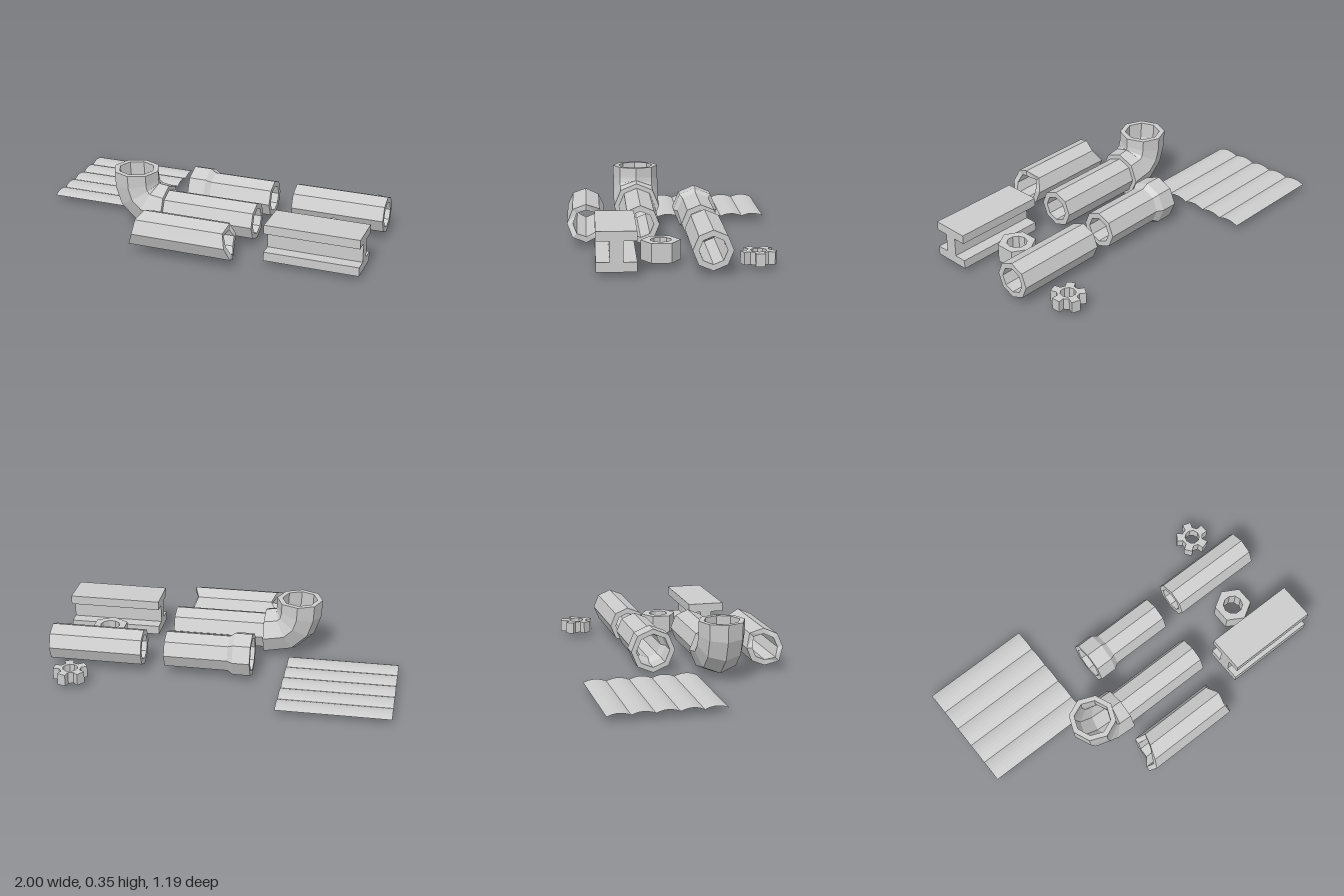
import * as THREE from 'three';

const grey = new THREE.MeshStandardMaterial({ color: 0xcccccc, flatShading: true });
const SIDES = 8;
const AXIS_Y = 0.138; // height of the pipe axes
const BASE_Y = 0.031; // underside of the loose parts
const R = 0.107, BORE = 0.074;

const polar = (r, a) => new THREE.Vector2(r * Math.cos(a), r * Math.sin(a));
const polygon = (r, n, start = 0) =>
  Array.from({ length: n }, (_, i) => polar(r, start + (i * 2 * Math.PI) / n));

// Octagonal hollow solid along y: outer wall up, inner wall back down
function hollow(outer, inner) {
  const profile = [...outer, ...[...inner].reverse(), outer[0]];
  return new THREE.LatheGeometry(profile.map(([r, y]) => new THREE.Vector2(r, y)), SIDES);
}

const pipeAlongX = (outer, inner) => hollow(outer, inner).rotateZ(-Math.PI / 2);

const straightPipe = (x0, x1) =>
  pipeAlongX([[R, x0], [R, x1]], [[BORE, x0], [BORE, x1]]);

// Flat plate with a hole, lying down with its underside on y = 0
function plate(outline, hole, height) {
  const shape = new THREE.Shape(outline);
  shape.holes.push(new THREE.Path(hole));
  return new THREE.ExtrudeGeometry(shape, { depth: height, bevelEnabled: false }).rotateX(-Math.PI / 2);
}

// Elbow: a hollow lathe whose rings are carried along a bent centre line
function elbowGeometry() {
  const path = [[-0.4, 0.353], [-0.396, 0.275], [-0.375, 0.21], [-0.322, 0.16], [-0.2, AXIS_Y]]
    .map(([x, y]) => new THREE.Vector2(x, y));
  const last = path.length - 1;
  const geometry = hollow(path.map((_, i) => [0.134, i]), path.map((_, i) => [0.103, i]));
  const pos = geometry.attributes.position;
  for (let k = 0; k < pos.count; k++) {
    const i = Math.round(pos.getY(k));
    const t = new THREE.Vector2(0, -1);
    if (i === last) t.set(1, 0);
    else if (i > 0) {
      const before = path[i].clone().sub(path[i - 1]).normalize();
      const after = path[i + 1].clone().sub(path[i]).normalize();
      t.addVectors(before, after).normalize();
    }
    const out = pos.getX(k);
    pos.setXYZ(k, path[i].x + t.y * out, path[i].y - t.x * out, pos.getZ(k));
  }
  return geometry;
}

// Broken pipe: each corner of the octagon ends at its own length
function brokenGeometry() {
  // from the front corner, going over the top to the back and underneath
  const leftEnds = [-0.26, -0.25, -0.225, -0.2, -0.25, -0.25, -0.25, -0.29];
  const rightEnds = [0.285, 0.265, 0.28, 0.25, 0.28, 0.28, 0.3, 0.31];
  const geometry = straightPipe(-1, 1);
  const pos = geometry.attributes.position;
  for (let k = 0; k < pos.count; k++) {
    const turn = Math.atan2(pos.getY(k), pos.getZ(k)) / (Math.PI / 4);
    const corner = (Math.round(turn) + SIDES) % SIDES;
    pos.setX(k, (pos.getX(k) < 0 ? leftEnds : rightEnds)[corner]);
  }
  return geometry;
}

// Corrugated sheet: five shallow arches side by side
function sheetGeometry() {
  const arches = 5, steps = 6, depth = 0.647;
  const geometry = new THREE.PlaneGeometry(0.64, depth, 1, arches * steps).rotateX(-Math.PI / 2);
  const pos = geometry.attributes.position;
  for (let k = 0; k < pos.count; k++) {
    const row = Math.round((pos.getZ(k) / depth + 0.5) * arches * steps);
    const u = (row % steps) / steps;
    pos.setY(k, 0.015 * (1 - (2 * u - 1) ** 2));
  }
  return geometry;
}

export function createModel() {
  const model = new THREE.Group();
  model.name = 'scrapParts';

  function add(name, geometry, x, y, z, parent = model, material = grey) {
    const mesh = new THREE.Mesh(geometry, material);
    mesh.name = name;
    mesh.position.set(x, y, z);
    parent.add(mesh);
    return mesh;
  }

  // Corrugated sheet
  const thin = grey.clone();
  thin.side = THREE.DoubleSide;
  add('corrugatedSheet', sheetGeometry(), -0.68, 0.036, -0.274, model, thin);

  // Pipe with elbow
  const elbowPipe = new THREE.Group();
  elbowPipe.name = 'elbowPipe';
  model.add(elbowPipe);
  add('elbow', elbowGeometry(), 0, 0, 0.182, elbowPipe);
  add('elbowStraightPipe', straightPipe(-0.22, 0.335), 0, AXIS_Y, 0.181, elbowPipe);

  // Pipe with a widened socket
  add('socketPipe', pipeAlongX(
    [[0.128, -0.172], [0.128, -0.072], [R, -0.04], [R, 0.328]],
    [[0.098, -0.172], [0.098, -0.072], [BORE, -0.04], [BORE, 0.328]]
  ), 0, AXIS_Y, -0.156);

  // Plain and broken pipes
  add('straightPipe', straightPipe(0.46, 1), 0, AXIS_Y, -0.165);
  add('brokenPipe', brokenGeometry(), 0, AXIS_Y, 0.484);

  // I-beam
  const beam = new THREE.Shape();
  const half = [[0.107, -0.107], [0.107, -0.055], [0.035, -0.055], [0.035, 0.055], [0.107, 0.055], [0.107, 0.107]];
  const mirrored = half.map(([a, b]) => [-a, -b]);
  beam.setFromPoints([...half, ...mirrored].map(([a, b]) => new THREE.Vector2(a, b)));
  const beamGeometry = new THREE.ExtrudeGeometry(beam, { depth: 0.54, bevelEnabled: false });
  add('iBeam', beamGeometry.rotateY(Math.PI / 2), 0.46, AXIS_Y, 0.331);

  // Hex nut
  add('hexNut', plate(polygon(0.107, 6, Math.PI / 2), polygon(0.057, 10), 0.107), 0.728, BASE_Y, 0.09);

  // Five-toothed gear
  const teeth = [];
  for (let i = 0; i < 5; i++) {
    const a = (i * 2 * Math.PI) / 5;
    teeth.push(polar(0.062, a - 0.38), polar(0.097, a - 0.27), polar(0.097, a + 0.27), polar(0.062, a + 0.38));
  }
  add('gear', plate(teeth, polygon(0.043, 10), 0.068), 0.835, BASE_Y, -0.418);

  return model;
}
